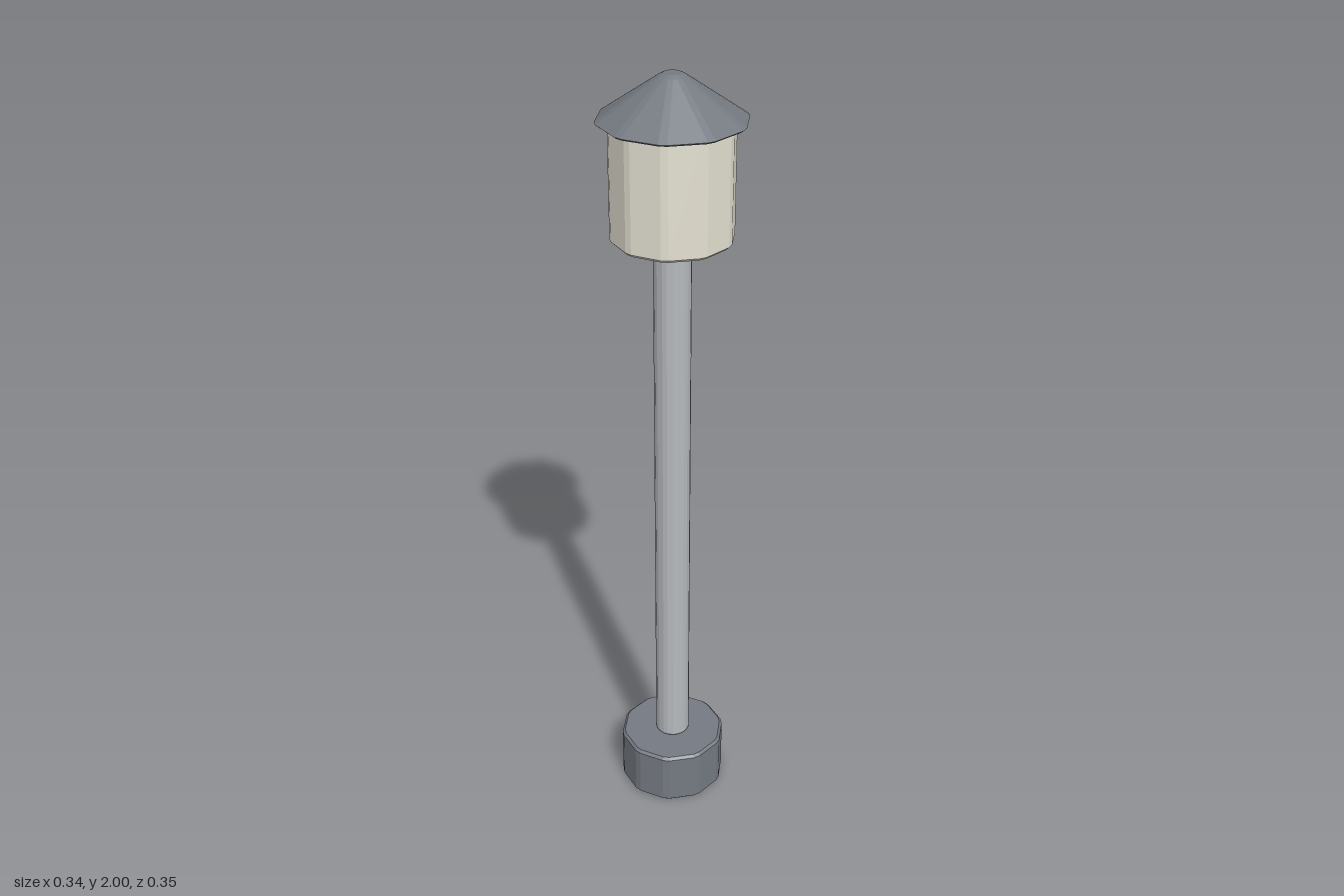
import * as THREE from 'three';

const SIDES = 10;

// One horizontal ten-sided section, with every corner cut into two points
function section(radius, y, cut) {
  const corner = (i) => {
    const a = (i / SIDES) * Math.PI * 2;
    return new THREE.Vector3(Math.sin(a) * radius, y, Math.cos(a) * radius);
  };
  const edge = 2 * radius * Math.sin(Math.PI / SIDES);
  const t = edge > 0 ? Math.min(cut / edge, 0.3) : 0;
  const points = [];
  for (let i = 0; i < SIDES; i++) {
    points.push(corner(i).lerp(corner(i - 1), t), corner(i).lerp(corner(i + 1), t));
  }
  return points;
}

// Closed solid through [radius, y] sections, listed from bottom to top
function bevelledSolid(name, profile, cut, color) {
  const rings = profile.map(([r, y]) => section(r, y, cut));
  const n = SIDES * 2;
  const positions = [];
  const add = (...points) => points.forEach((p) => positions.push(p.x, p.y, p.z));
  for (let k = 0; k < rings.length - 1; k++) {
    for (let j = 0; j < n; j++) {
      const next = (j + 1) % n;
      const a = rings[k][j], b = rings[k][next];
      const c = rings[k + 1][next], d = rings[k + 1][j];
      if (profile[k][0] > 0) add(a, b, c);
      if (profile[k + 1][0] > 0) add(a, c, d);
    }
  }
  const geometry = new THREE.BufferGeometry();
  geometry.setAttribute('position', new THREE.Float32BufferAttribute(positions, 3));
  geometry.computeVertexNormals();
  const mesh = new THREE.Mesh(geometry, new THREE.MeshStandardMaterial({ color, flatShading: true }));
  mesh.name = name;
  return mesh;
}

// Straight prism with bevelled top and bottom rims
function prism(name, radius, y0, y1, bevel, color) {
  return bevelledSolid(name, [
    [0, y0], [radius - bevel, y0], [radius, y0 + bevel],
    [radius, y1 - bevel], [radius - bevel, y1], [0, y1],
  ], bevel * 1.3, color);
}

export function createModel() {
  const group = new THREE.Group();
  group.name = 'lampPost';
  const darkMetal = 0x757a82;

  group.add(prism('base', 0.142, 0, 0.152, 0.007, darkMetal));
  group.add(prism('pole', 0.047, 0.15, 1.622, 0.007, 0xb6b9bd));
  group.add(prism('lantern', 0.148, 1.615, 1.897, 0.007, 0xe4e1d2));

  // Shallow pointed cap with a small flattened tip
  group.add(bevelledSolid('roof', [
    [0, 1.892], [0.17, 1.892], [0.1765, 1.897],
    [0.034, 1.994], [0.022, 2], [0, 2],
  ], 0.01, darkMetal));

  return group;
}
